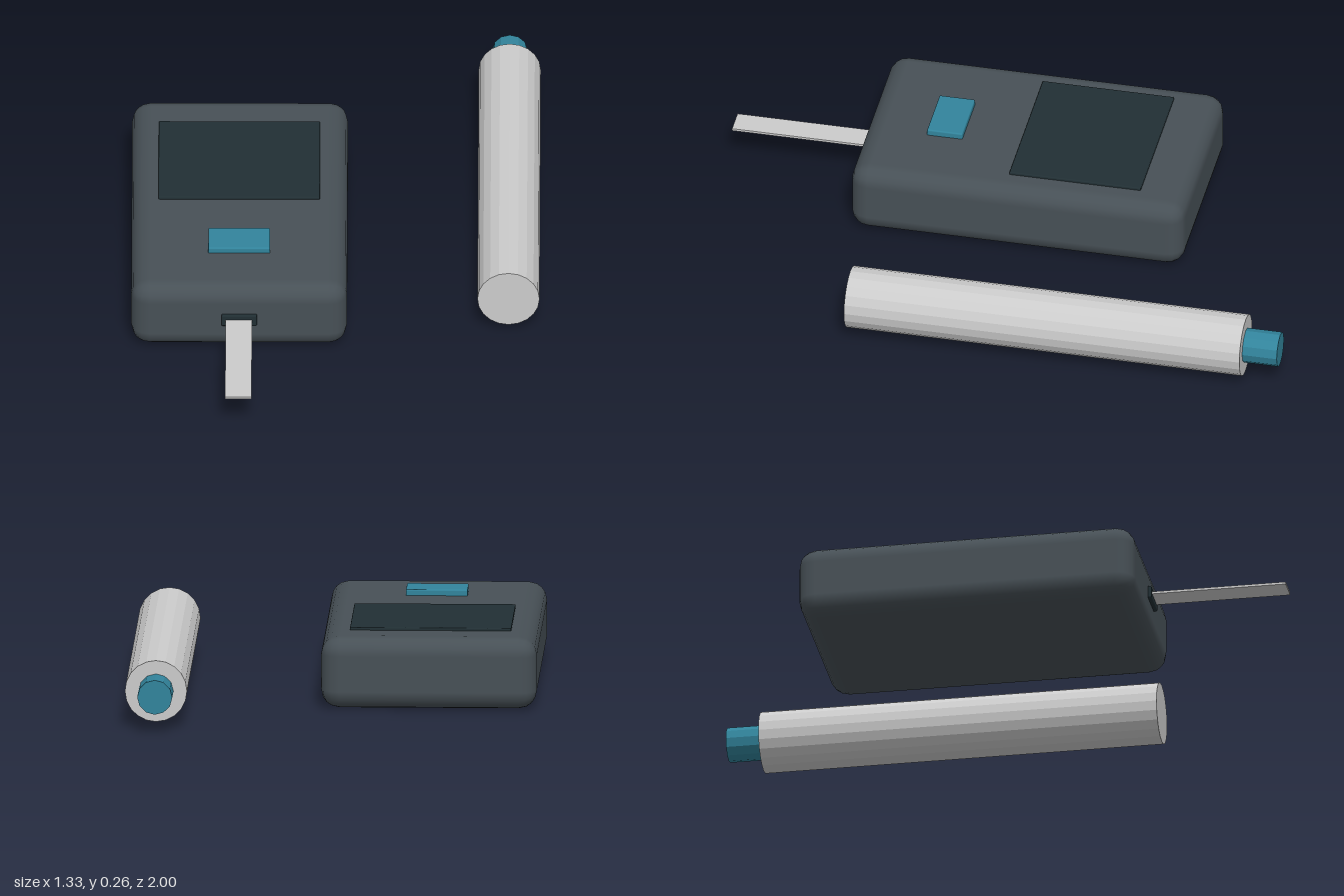
import * as THREE from 'three';
import { RoundedBoxGeometry } from 'three/addons/geometries/RoundedBoxGeometry.js';

const mat = (color, flatShading = false) => new THREE.MeshStandardMaterial({ color, flatShading });

export function createModel() {
  const group = new THREE.Group();
  const grey = mat(0xcccccc, true);
  const casing = mat(0x475056);
  const dark = mat(0x212f34);
  const teal = mat(0x32849c);
  const tealFlat = mat(0x32849c, true);

  const add = (name, geometry, material, x, y, z) => {
    const mesh = new THREE.Mesh(geometry, material);
    mesh.name = name;
    mesh.position.set(x, y, z);
    group.add(mesh);
    return mesh;
  };

  // Box given by its limits on each axis
  const block = (name, material, [x0, x1], [y0, y1], [z0, z1], radius = 0) => {
    const size = [x1 - x0, y1 - y0, z1 - z0];
    const geometry = radius
      ? new RoundedBoxGeometry(...size, 2, radius)
      : new THREE.BoxGeometry(...size);
    return add(name, geometry, material, (x0 + x1) / 2, (y0 + y1) / 2, (z0 + z1) / 2);
  };

  // Cylinder lying along z
  const rod = (name, material, radius, z0, z1, sides) => {
    const geometry = new THREE.CylinderGeometry(radius, radius, z1 - z0, sides);
    geometry.rotateX(Math.PI / 2);
    return add(name, geometry, material, 0.56, 0.12, (z0 + z1) / 2);
  };

  // Handheld meter
  block('meterBody', casing, [-0.667, 0.035], [0, 0.237], [-0.562, 0.547], 0.06);
  block('screen', dark, [-0.58, -0.055], [0.22, 0.246], [-0.405, 0.032], 0.004);
  block('button', teal, [-0.417, -0.216], [0.22, 0.257], [0.222, 0.34], 0.005);
  block('stripPort', dark, [-0.373, -0.258], [0.099, 0.14], [0.52, 0.559], 0.004);
  block('testStrip', grey, [-0.36, -0.274], [0.116, 0.124], [0.53, 1]);

  // Pen beside the meter
  rod('penBarrel', grey, 0.101, -0.885, 0.43, 20);
  rod('penPlunger', tealFlat, 0.057, -1, -0.88, 12);

  return group;
}
